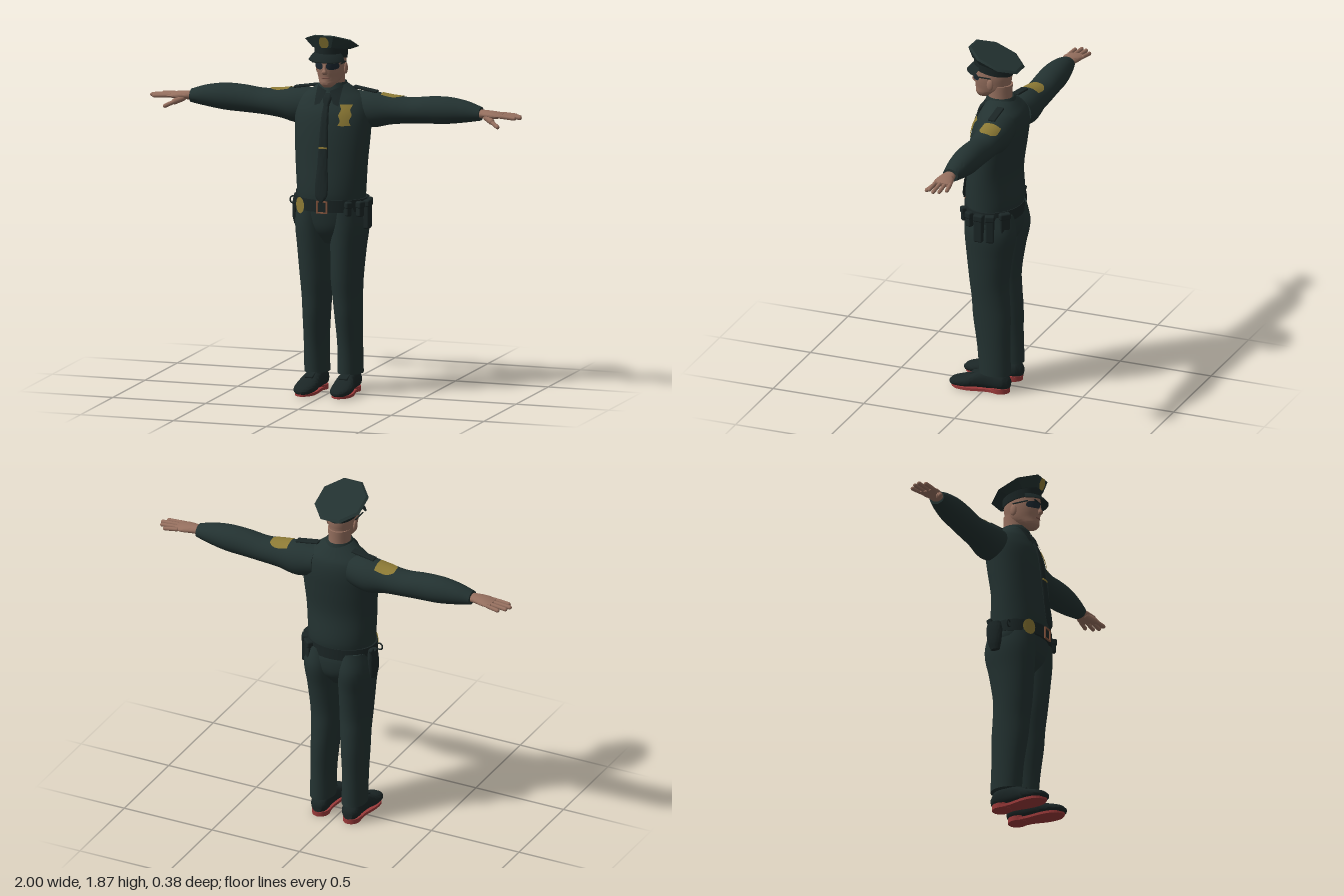
import * as THREE from 'three';
import { toCreasedNormals } from 'three/addons/utils/BufferGeometryUtils.js';
import { RoundedBoxGeometry } from 'three/addons/geometries/RoundedBoxGeometry.js';

const mat = (name, color) => Object.assign(new THREE.MeshStandardMaterial({ color, side: THREE.DoubleSide }), { name });

// Interpolate a table of cross-sections [t, u, v, ru, rv] smoothly at t
function sample(rings, t) {
  let i = 0;
  while (i < rings.length - 2 && t > rings[i + 1][0]) i++;
  const a = rings[i], b = rings[i + 1], h = b[0] - a[0], f = (t - a[0]) / h;
  const slope = (j, k) => {
    const p = rings[Math.max(j - 1, 0)], n = rings[Math.min(j + 1, rings.length - 1)];
    return (n[k] - p[k]) / (n[0] - p[0]);
  };
  return a.map((_, k) => k === 0 ? t :
    a[k] * (1 + 2 * f) * (1 - f) ** 2 + b[k] * f * f * (3 - 2 * f)
    + h * (slope(i, k) * f * (1 - f) ** 2 + slope(i + 1, k) * f * f * (f - 1)));
}

// Closed skin through cross-sections along an axis; a sixth ring value tilts the ring
function loft(rings, { axis = 'y', n = 28, steps = 5, power = 2, phase = 0, side = 1, crease = 0.9 } = {}) {
  const pos = [], idx = [], ts = [];
  for (let i = 0; i < rings.length - 1; i++)
    for (let k = 0; k < steps; k++) ts.push(rings[i][0] + (rings[i + 1][0] - rings[i][0]) * k / steps);
  ts.push(rings.at(-1)[0]);
  const put = (t, a, b) => pos.push(...(axis === 'y' ? [a * side, t, b] : axis === 'x' ? [t * side, a, b] : [a * side, b, t]));
  const e = x => Math.sign(x) * Math.abs(x) ** (2 / power);
  for (const t of ts) {
    const [, u, v, ru, rv, tilt = 0] = sample(rings, t);
    for (let j = 0; j < n; j++) {
      const a = phase + j / n * Math.PI * 2, dv = rv * e(Math.sin(a));
      put(t + tilt * dv, u + ru * e(Math.cos(a)), v + dv);
    }
  }
  const flip = (axis === 'y') !== (side < 0);
  const tri = (a, b, c) => idx.push(...(flip ? [a, c, b] : [a, b, c]));
  const last = (ts.length - 1) * n, c0 = ts.length * n;
  for (const r of [rings[0], rings.at(-1)]) put(r[0], r[1], r[2]);
  for (let j = 0; j < n; j++) {
    const k = (j + 1) % n;
    for (let i = 0; i < last; i += n) {
      tri(i + j, i + k, i + n + j);
      tri(i + k, i + n + k, i + n + j);
    }
    tri(c0, k, j);
    tri(c0 + 1, last + j, last + k);
  }
  const g = new THREE.BufferGeometry();
  g.setAttribute('position', new THREE.Float32BufferAttribute(pos, 3));
  g.setIndex(idx);
  return toCreasedNormals(g, crease);
}

// Thin face laid on a surface: fn maps u, v in -1..1 to a point
function patch(fn) {
  const g = new THREE.PlaneGeometry(2, 2, 12, 12), p = g.attributes.position;
  for (let i = 0; i < p.count; i++) p.setXYZ(i, ...fn(p.getX(i), p.getY(i)));
  g.computeVertexNormals();
  return g;
}

const TORSO = [[0.97, 0, -0.015, 0.176, 0.135], [1.05, 0, -0.018, 0.18, 0.147], [1.2, 0, -0.02, 0.19, 0.136],
  [1.35, 0, -0.037, 0.2, 0.138], [1.45, 0, -0.052, 0.2, 0.133], [1.52, 0, -0.064, 0.175, 0.112],
  [1.565, 0, -0.06, 0.115, 0.085], [1.6, 0, -0.052, 0.066, 0.064]];
const ARM = [[0.1, 1.475, -0.09, 0.08, 0.085], [0.2, 1.463, -0.092, 0.092, 0.09], [0.3, 1.466, -0.095, 0.075, 0.08],
  [0.4, 1.468, -0.1, 0.067, 0.074], [0.5, 1.476, -0.1, 0.07, 0.072], [0.6, 1.48, -0.1, 0.069, 0.07],
  [0.7, 1.48, -0.097, 0.055, 0.058], [0.78, 1.475, -0.092, 0.035, 0.042]];
const LEG = [[0.1, 0.09, -0.055, 0.064, 0.084], [0.25, 0.09, -0.046, 0.063, 0.088], [0.4, 0.086, -0.035, 0.069, 0.1],
  [0.5, 0.083, -0.028, 0.075, 0.101], [0.6, 0.083, -0.02, 0.082, 0.105], [0.75, 0.089, -0.023, 0.089, 0.122],
  [0.88, 0.094, -0.03, 0.096, 0.138], [0.99, 0.088, -0.02, 0.088, 0.128]];
const HEAD = [[1.592, 0, 0.045, 0.024, 0.028], [1.61, 0, 0.03, 0.044, 0.055], [1.64, 0, -0.003, 0.06, 0.088],
  [1.68, 0, -0.006, 0.07, 0.097], [1.72, 0, -0.008, 0.075, 0.1], [1.78, 0, -0.01, 0.073, 0.096]];

// Front z of a lofted body at x, y
function frontZ(rings, x, y) {
  const [, u, v, ru, rv] = sample(rings, y);
  return v + rv * Math.sqrt(Math.max(0, 1 - ((x - u) / ru) ** 2));
}

export function createModel() {
  const model = new THREE.Group();
  model.name = 'uniformedOfficer';
  const cloth = mat('uniform', 0x233231), leather = mat('leather', 0x1b2626), skin = mat('skin', 0x96705f),
    gold = mat('gold', 0x8d7a35), red = mat('soleRed', 0x9c3a3a), bronze = mat('buckleBronze', 0x80523c),
    lens = mat('lens', 0x1b2730), lips = mat('lips', 0x7c5449);
  const add = (name, geo, m, p = [0, 0, 0], r = [0, 0, 0]) => {
    const mesh = new THREE.Mesh(geo, m);
    mesh.name = name;
    mesh.position.set(...p);
    mesh.rotation.set(...r);
    model.add(mesh);
    return mesh;
  };
  const ball = (name, m, p, s) => add(name, new THREE.SphereGeometry(1, 16, 12), m, p).scale.set(...s);
  const bone = (name, a, b, r) => {
    const A = new THREE.Vector3(...a), B = new THREE.Vector3(...b), d = B.clone().sub(A);
    const mesh = add(name, new THREE.CapsuleGeometry(r, d.length() - r, 4, 10), skin, A.clone().lerp(B, 0.5).toArray());
    mesh.quaternion.setFromUnitVectors(new THREE.Vector3(0, 1, 0), d.normalize());
  };

  // Shirt, hips, neck and head
  add('shirt', loft(TORSO, { n: 40 }), cloth);
  add('hips', loft([[0.78, 0, -0.022, 0.06, 0.07], [0.85, 0, -0.026, 0.15, 0.122], [0.93, 0, -0.024, 0.188, 0.138],
    [1.0, 0, -0.016, 0.18, 0.137]]), cloth);
  add('neck', loft([[1.54, 0, -0.05, 0.06, 0.06], [1.6, 0, -0.046, 0.057, 0.062], [1.67, 0, -0.045, 0.06, 0.066]]), skin);
  add('head', loft(HEAD, { n: 32 }), skin);
  add('nose', loft([[1.662, 0, 0.088, 0.012, 0.01], [1.674, 0, 0.09, 0.015, 0.019], [1.69, 0, 0.09, 0.009, 0.012],
    [1.715, 0, 0.088, 0.007, 0.006]], { n: 12 }), skin);
  ball('mouth', lips, [0, 1.642, 0.081], [0.023, 0.005, 0.007]);

  // Sunglasses
  add('glassesBridge', new THREE.BoxGeometry(0.12, 0.006, 0.006), leather, [0, 1.724, 0.092]);

  // Peaked cap: round band, tilted eight-sided crown, curved visor
  add('capBand', loft([[1.738, 0, -0.01, 0.081, 0.102, 0.16], [1.795, 0, -0.01, 0.085, 0.105, 0.2]]), leather);
  const oct = 1 / Math.cos(Math.PI / 8);
  add('capCrown', loft([[1.782, 0, -0.01, 0.085 * oct, 0.104 * oct, 0.2], [1.81, 0, -0.025, 0.127 * oct, 0.134 * oct, 0.4],
    [1.818, 0, -0.026, 0.115 * oct, 0.122 * oct, 0.4]], { n: 8, phase: Math.PI / 8, steps: 1, crease: 0.4 }), cloth);
  const visor = new THREE.LatheGeometry([[0.078, 1.77], [0.095, 1.757], [0.113, 1.732], [0.111, 1.728], [0.078, 1.76]]
    .map(p => new THREE.Vector2(...p)), 20, -1.05, 2.1);
  add('capVisor', visor, leather, [0, 0, -0.01]).scale.z = 1.25;
  add('capBadge', patch((u, v) => [0.026 * u * Math.sqrt(1 - 0.75 * v * v), 1.83 + 0.029 * v, 0.106 + 0.009 * v]), gold);

  // Tie, knot, clip and chest badge
  add('tie', loft([[1.005, 0, 0.152, 0.004, 0.004], [1.045, 0, 0.147, 0.033, 0.007], [1.2, 0, 0.125, 0.028, 0.009],
    [1.35, 0, 0.105, 0.023, 0.009], [1.45, 0, 0.085, 0.019, 0.009], [1.525, 0, 0.052, 0.014, 0.009]], { n: 16 }), leather);
  add('tieKnot', loft([[1.495, 0, 0.068, 0.014, 0.012], [1.535, 0, 0.044, 0.024, 0.018], [1.555, 0, 0.03, 0.02, 0.014]], { n: 16 }), leather);
  add('tieClip', new THREE.BoxGeometry(0.044, 0.009, 0.006), gold, [0, 1.287, 0.122]);
  add('chestBadge', patch((u, v) => {
    const x = 0.1 + u * (0.027 + 0.005 * Math.cos(v * 6)), y = 1.452 + 0.053 * v;
    return [x, y, frontZ(TORSO, x, y) + 0.006];
  }), gold);

  // Belt with buckle, badge, pouches and holster
  add('belt', loft([[0.955, 0, -0.015, 0.189, 0.146], [1.018, 0, -0.015, 0.187, 0.149]], { n: 40, steps: 1 }), leather);
  for (const s of [-1, 1]) {
    add('buckleSide', new THREE.BoxGeometry(0.007, 0.064, 0.008), bronze, [s * 0.025, 0.982, 0.136]);
    add('buckleBar', new THREE.BoxGeometry(0.05, 0.007, 0.008), bronze, [0, 0.982 + s * 0.029, 0.136]);
  }
  add('beltBadge', patch((u, v) => {
    const x = -0.13 + 0.028 * u * Math.sqrt(1.02 - v * v);
    return [x, 0.98 + 0.042 * v, -0.009 + 0.15 * Math.sqrt(1 - (x / 0.194) ** 2)];
  }), gold);
  const onBelt = (name, a, y, w, h, d) => add(name, new RoundedBoxGeometry(d, h, w, 3, 0.009), leather,
    [0.194 * Math.cos(a), y, -0.015 + 0.15 * Math.sin(a)], [0, -a, 0]);
  for (const [a, y, w, h] of [[0.85, 0.975, 0.03, 0.075], [0.45, 0.97, 0.035, 0.08], [0.05, 0.935, 0.048, 0.15],
    [-0.33, 0.935, 0.045, 0.15], [-0.8, 0.945, 0.055, 0.14]]) {
    onBelt('pouch', a, y, w, h, 0.036);
    onBelt('pouchFlap', a, y + h / 2 - 0.018, w + 0.006, 0.036, 0.044);
  }
  add('holster', loft([[0.855, -0.2, -0.06, 0.014, 0.025], [0.9, -0.203, -0.062, 0.02, 0.038],
    [0.97, -0.2, -0.065, 0.022, 0.044], [1.01, -0.197, -0.068, 0.018, 0.036]]), leather);
  add('pistolGrip', new RoundedBoxGeometry(0.022, 0.06, 0.03, 3, 0.008), leather, [-0.203, 1.0, -0.085], [-0.3, 0, 0]);
  add('beltRing', new THREE.TorusGeometry(0.018, 0.004, 8, 20), leather, [-0.195, 0.99, 0.015]);

  for (const s of [-1, 1]) {
    // Head sides and glasses
    ball('ear', skin, [s * 0.076, 1.682, -0.02], [0.009, 0.03, 0.018]);
    add('lens', patch((u, v) => {
      const x = s * (0.037 + 0.028 * u * Math.sqrt(1 - 0.35 * v * v)), y = 1.706 + 0.019 * v * (1 - 0.2 * u * u);
      return [x, y, frontZ(HEAD, x, y) + 0.006];
    }), lens);
    add('glassesTemple', new THREE.BoxGeometry(0.004, 0.006, 0.085), leather, [s * 0.077, 1.717, 0.02]);

    // Collar flaps and shoulder straps
    add('collarFlap', patch((u, v) => {
      const k = (1 - v) / 2, x = s * (0.038 + 0.012 * k + u * 0.03 * (1 - 0.5 * k));
      const y = 1.592 - 0.085 * k + (u - 1) * 0.012 * (1 - k) - (u + 1) * 0.006 * k;
      return [x, y, frontZ(TORSO, x, y) + 0.012];
    }), leather);
    add('collarSide', patch((u, v) => {
      const a = u * Math.PI / 2, r = 0.008 * (1 - v);
      return [s * (0.066 + r) * Math.cos(a), 1.585 + 0.022 * v, -0.05 + (0.07 + r) * Math.sin(a)];
    }), cloth);
    add('shoulderStrap', new RoundedBoxGeometry(0.13, 0.012, 0.04, 2, 0.005), leather, [s * 0.16, 1.566, -0.088], [0, 0, -s * 0.16]);

    // Sleeve with shoulder patch
    add('sleeve', loft(ARM, { axis: 'x', side: s }), cloth);
    add('sleevePatch', patch((u, v) => {
      const t = 0.302 + 0.053 * u, [, cy, cz, ry, rz] = sample(ARM, t);
      const a = -0.18 + 0.62 * v * Math.sqrt(1 - 0.8 * Math.max(0, u) ** 2) * (1 - 0.12 * Math.max(0, -u));
      return [s * t, cy + (ry + 0.004) * Math.cos(a), cz + (rz + 0.004) * Math.sin(a)];
    }), gold);

    // Hand
    add('palm', loft([[0.765, 1.475, -0.09, 0.022, 0.028], [0.81, 1.475, -0.088, 0.021, 0.039],
      [0.86, 1.473, -0.09, 0.018, 0.05], [0.9, 1.472, -0.094, 0.011, 0.048]], { axis: 'x', side: s, n: 20 }), skin);
    [[-0.134, -0.144, 0.955], [-0.108, -0.114, 0.985], [-0.082, -0.085, 0.996], [-0.057, -0.056, 0.975]].forEach(([z0, z1, x]) =>
      bone('finger', [s * 0.88, 1.474, z0], [s * x, 1.467, z1], 0.0105));
    bone('thumbBase', [s * 0.81, 1.466, -0.068], [s * 0.86, 1.445, -0.035], 0.016);
    bone('thumb', [s * 0.852, 1.448, -0.038], [s * 0.9, 1.425, -0.008], 0.011);

    // Trouser leg and shoe
    add('trouserLeg', loft(LEG, { side: s }), cloth);
    add('shoe', loft([[-0.132, 0.088, 0.05, 0.025, 0.024], [-0.105, 0.088, 0.06, 0.045, 0.044], [-0.03, 0.09, 0.065, 0.045, 0.052],
      [0.03, 0.092, 0.058, 0.05, 0.045], [0.08, 0.096, 0.044, 0.057, 0.034], [0.14, 0.098, 0.034, 0.052, 0.025],
      [0.175, 0.098, 0.029, 0.036, 0.018], [0.19, 0.098, 0.025, 0.012, 0.008]], { axis: 'z', side: s, power: 2.4 }), leather);
    add('shoelaces', new RoundedBoxGeometry(0.045, 0.012, 0.06, 2, 0.005), leather, [s * 0.093, 0.092, 0.045], [0.3, 0, 0]);
    const outline = new THREE.Shape().setFromPoints(new THREE.CatmullRomCurve3([[0.088, -0.13], [0.128, -0.1], [0.13, -0.02],
      [0.15, 0.08], [0.142, 0.145], [0.098, 0.182], [0.056, 0.145], [0.044, 0.08], [0.052, -0.02], [0.048, -0.1]]
      .map(([x, z]) => new THREE.Vector3(s * x, z, 0)), true).getPoints(40));
    add('sole', new THREE.ExtrudeGeometry(outline, { depth: 0.014, bevelEnabled: false }).rotateX(Math.PI / 2), red, [0, 0.016, 0]);
    add('heel', new THREE.CylinderGeometry(0.046, 0.045, 0.026, 24), red, [s * 0.088, 0.013, -0.08]).scale.z = 1.15;
  }
  return model;
}
